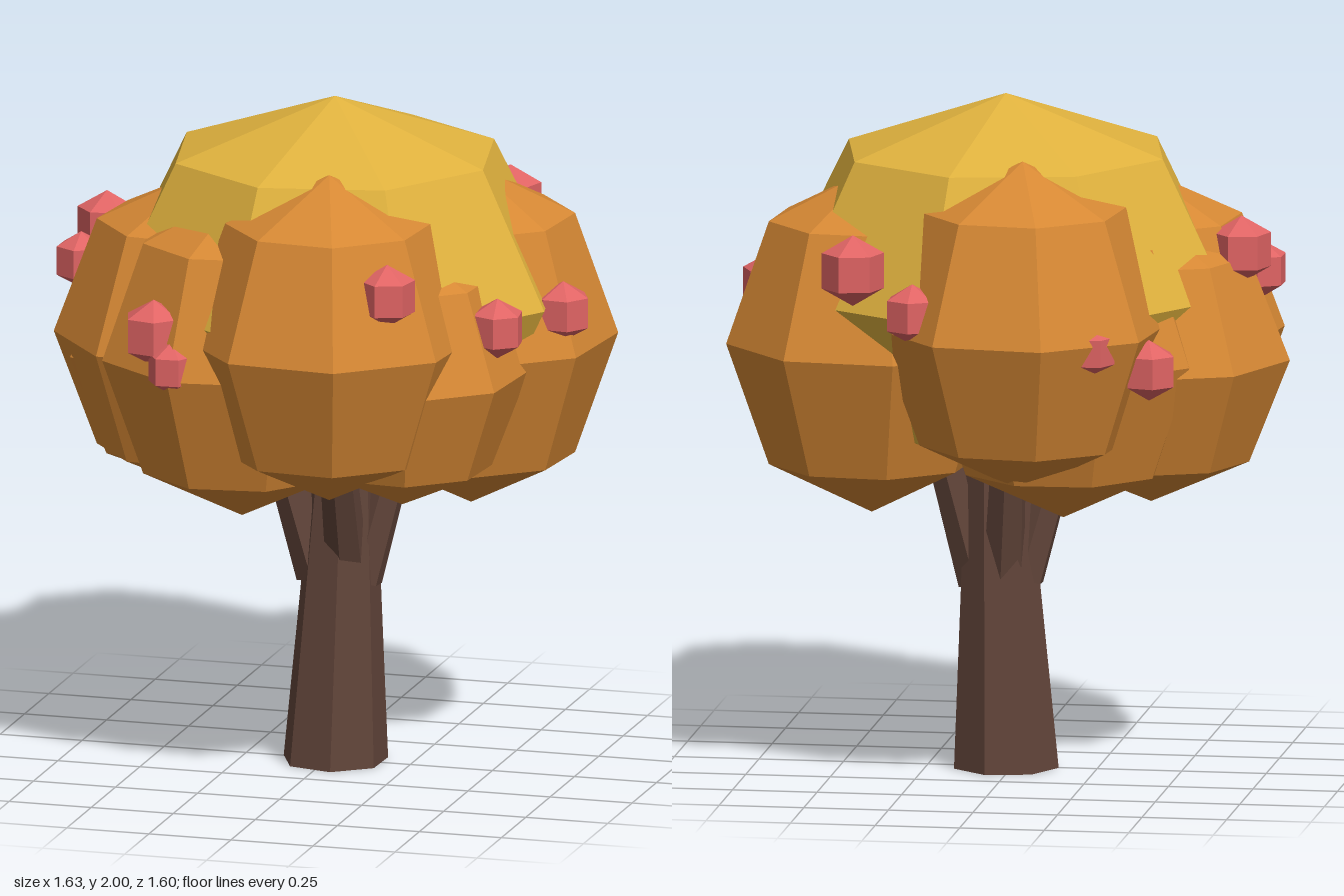
import * as THREE from 'three';

const paint = (color) => new THREE.MeshStandardMaterial({ color, flatShading: true });

export function createModel() {
  const tree = new THREE.Group();
  tree.name = 'fruitTree';
  const bark = paint(0x62453a);
  const gold = paint(0xe0b23e);
  const orange = paint(0xd68834);
  const red = paint(0xe06464);

  const add = (name, geometry, material, x, y, z) => {
    const mesh = new THREE.Mesh(geometry, material);
    mesh.name = name;
    mesh.position.set(x, y, z);
    tree.add(mesh);
    return mesh;
  };

  // Faceted clump of leaves, turned so its corners sit at the given angle
  const leafGeometry = new THREE.SphereGeometry(1, 8, 4);
  const addLeaves = (name, material, [x, y, z, r, ry, turn]) => {
    const mesh = add(name, leafGeometry, material, x, y, z);
    mesh.scale.set(r, ry, r);
    mesh.rotation.y = -THREE.MathUtils.degToRad(turn);
  };

  // Tapered trunk, leaning slightly to its left
  const trunkGeometry = new THREE.CylinderGeometry(0.08, 0.157, 1.1, 7);
  trunkGeometry.translate(0, 0.55, 0);
  const bend = trunkGeometry.attributes.position;
  for (let i = 0; i < bend.count; i++) bend.setX(i, bend.getX(i) + 0.03 * bend.getY(i));
  add('trunk', trunkGeometry, bark, 0.02, 0, 0).rotation.y = 0.2;

  // Branches rising out of the trunk into the crown
  const up = new THREE.Vector3(0, 1, 0);
  const branches = [
    [[-0.03, 0.56, 0.01], [-0.18, 1.1, 0.05]],
    [[0.1, 0.55, 0], [0.24, 1.1, -0.05]],
    [[0.06, 0.55, 0.0], [0.09, 1.1, 0.25]],
    [[0.02, 0.57, -0.04], [-0.02, 1.1, -0.17]],
  ];
  for (const [a, b] of branches) {
    const start = new THREE.Vector3(...a);
    const dir = new THREE.Vector3(...b).sub(start);
    const mid = start.clone().addScaledVector(dir, 0.5);
    const branch = add('branch', new THREE.CylinderGeometry(0.05, 0.065, dir.length(), 6),
      bark, mid.x, mid.y, mid.z);
    branch.quaternion.setFromUnitVectors(up, dir.normalize());
  }

  // Central crown and the clumps around it: x, y, z, radius, half height, turn
  addLeaves('crownCentre', gold, [0.02, 1.43, 0, 0.69, 0.57, 11]);
  const clumps = [
    [0.12, 1.375, 0.395, 0.43, 0.49, 27],
    [0.395, 1.28, -0.135, 0.43, 0.51, 28],
    [-0.41, 1.23, 0, 0.41, 0.43, 0],
    [-0.356, 1.29, 0.108, 0.43, 0.48, 29],
    [-0.09, 1.38, -0.385, 0.43, 0.49, 29],
    [-0.18, 1.28, 0.28, 0.42, 0.49, 15],
    [0.3, 1.25, 0.25, 0.37, 0.4, 27],
    [-0.18, 1.26, -0.19, 0.42, 0.48, 20],
  ];
  for (const clump of clumps) addLeaves('leafClump', orange, clump);

  // Fruit on the outside of the crown: x, y, z, radius
  const fruits = [
    [-0.68, 1.56, -0.02, 0.1], [-0.72, 1.48, 0.11, 0.085],
    [-0.36, 1.4, 0.58, 0.1], [-0.29, 1.31, 0.63, 0.08],
    [0.36, 1.57, 0.61, 0.095], [0.61, 1.42, 0.32, 0.09],
    [0.725, 1.41, 0.03, 0.09], [0.38, 1.57, -0.59, 0.105],
    [0.2, 1.45, -0.62, 0.09], [-0.48, 1.28, -0.49, 0.09],
    [-0.33, 1.36, -0.63, 0.08],
  ];
  fruits.forEach(([x, y, z, r], i) => {
    add('fruit', new THREE.SphereGeometry(r, 6, 3), red, x, y, z).rotation.y = 0.2 + i * 0.3;
  });
  return tree;
}
